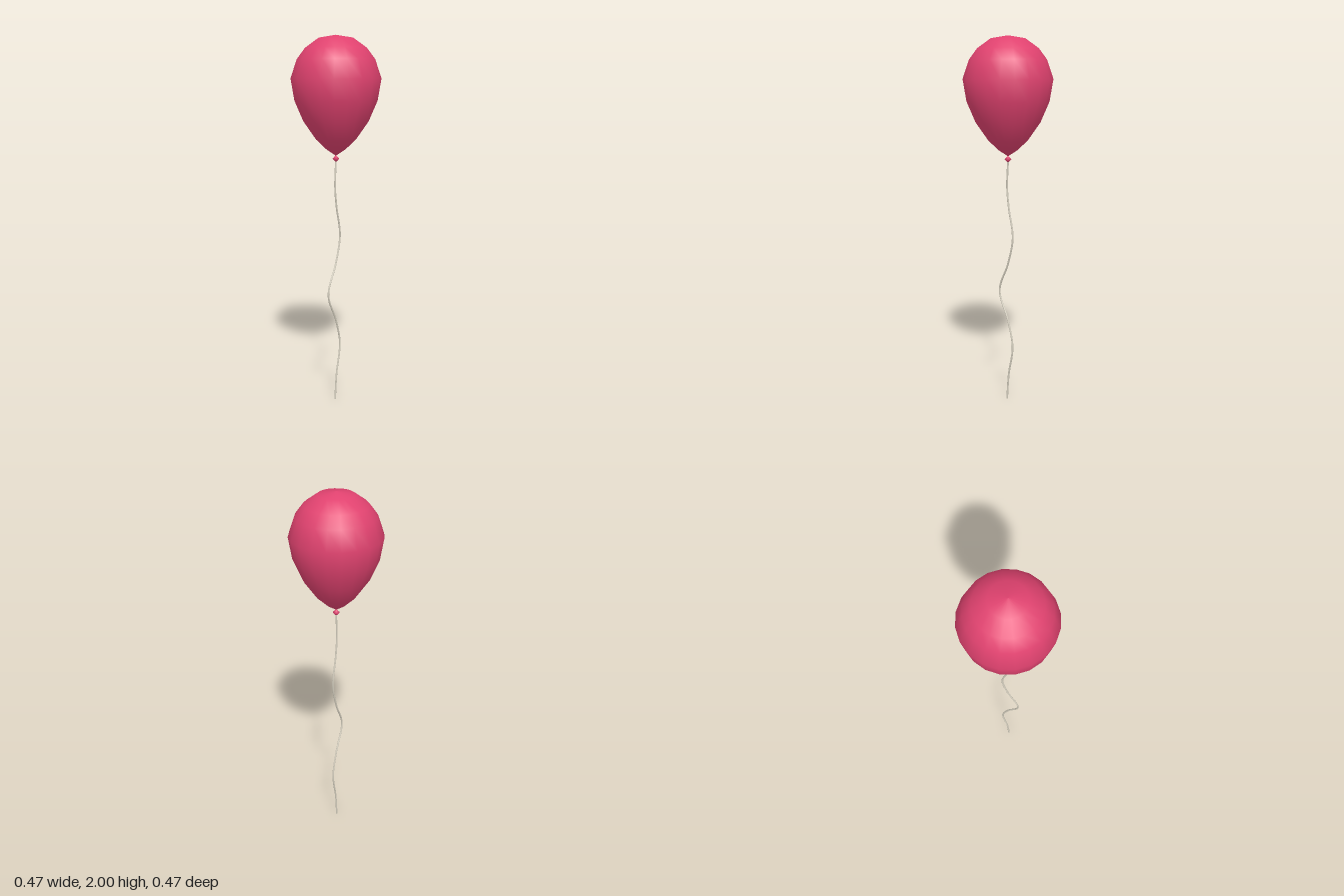
import * as THREE from 'three';

const red = new THREE.MeshStandardMaterial({ color: 0xe0426f });
red.name = 'balloonPink';
const cream = new THREE.MeshStandardMaterial({ color: 0xd6d0c0 });
cream.name = 'stringCream';

// Surface of revolution from [radius, height] pairs, listed bottom to top
function lathe(name, profile, sides, material) {
  const points = profile.map(([r, y]) => new THREE.Vector2(r, y));
  const mesh = new THREE.Mesh(new THREE.LatheGeometry(points, sides), material);
  mesh.name = name;
  return mesh;
}

export function createModel() {
  const group = new THREE.Group();
  group.name = 'balloonOnString';

  // Inflated teardrop body
  group.add(lathe('balloonBody', [
    [0, 1.377], [0.05, 1.41], [0.105, 1.462], [0.172, 1.558], [0.218, 1.666],
    [0.237, 1.78], [0.203, 1.878], [0.16, 1.935], [0.09, 1.985], [0, 2],
  ], 20, red));

  // Small tied knot below the body
  group.add(lathe('knot', [
    [0, 1.344], [0.008, 1.35], [0.018, 1.362], [0.008, 1.372], [0, 1.382],
  ], 10, red));

  // Wavy string hanging in the x-y plane
  const path = new THREE.CatmullRomCurve3([
    [-0.007, 0], [0.006, 0.15], [0.036, 0.32], [0, 0.465], [-0.066, 0.625], [0, 0.79],
    [0.036, 0.94], [0.006, 1.1], [-0.007, 1.21], [0, 1.35],
  ].map(([x, y]) => new THREE.Vector3(x, y, 0)));
  const string = new THREE.Mesh(new THREE.TubeGeometry(path, 60, 0.005, 6), cream);
  string.name = 'string';
  group.add(string);

  // Closed lower end of the string
  const end = new THREE.Mesh(new THREE.CylinderGeometry(0.005, 0.005, 0.004, 6), cream);
  end.name = 'stringEnd';
  end.position.set(-0.007, 0.002, 0);
  group.add(end);

  return group;
}
